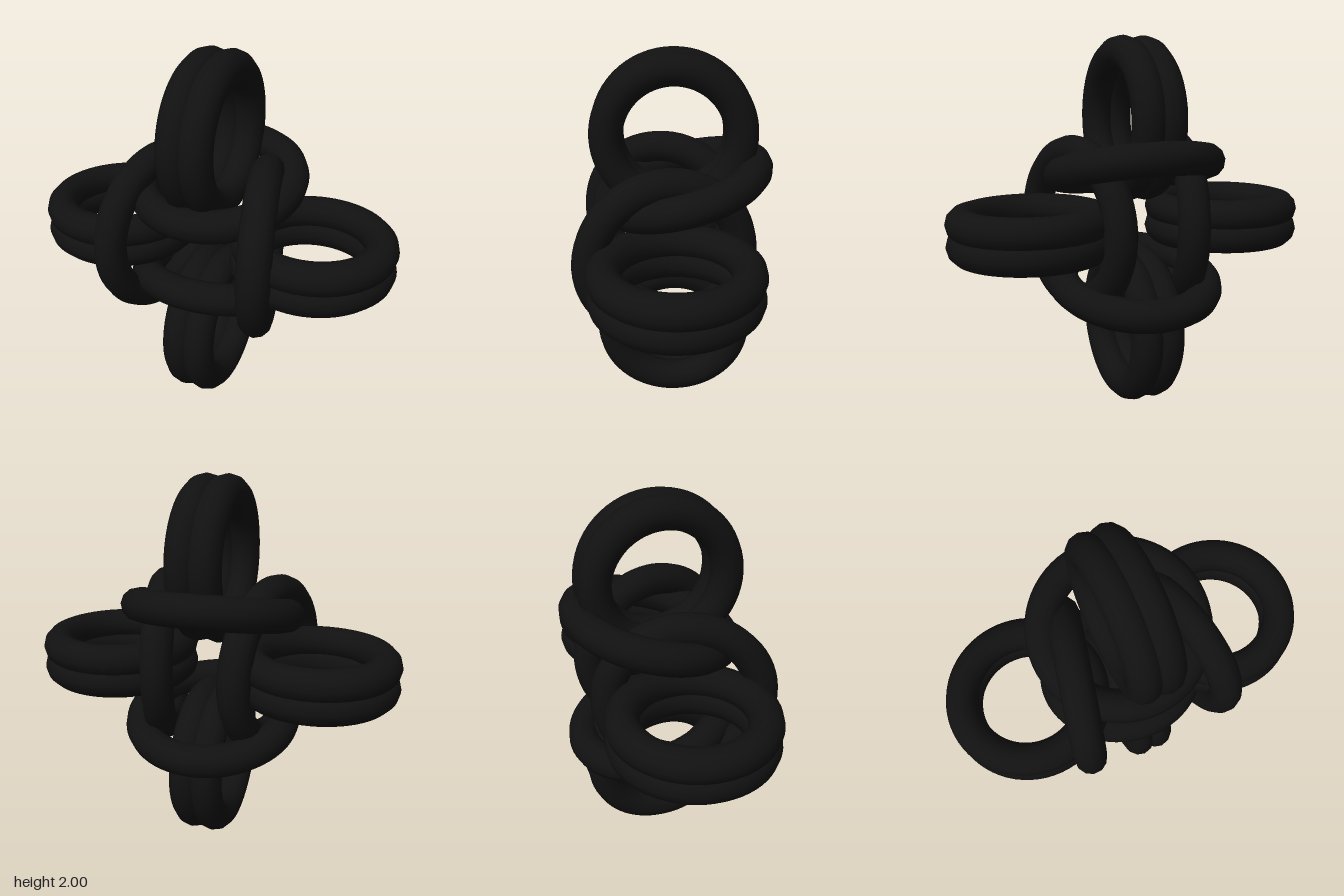
import * as THREE from 'three';

const TUBE = 0.087;   // wire radius
const TILT = 0.24;    // lean of the locking rings

export function createModel() {
  const group = new THREE.Group();
  group.name = 'chainKnot';
  const material = new THREE.MeshStandardMaterial({ color: 0x111111 });
  const outerRing = new THREE.TorusGeometry(0.348, TUBE, 12, 64);
  const lockRing = new THREE.TorusGeometry(0.4, TUBE, 12, 64);

  function addRing(name, geometry, position, rotX, rotY) {
    const mesh = new THREE.Mesh(geometry, material);
    mesh.name = name;
    mesh.position.set(...position);
    mesh.rotation.set(rotX, rotY, 0);
    group.add(mesh);
  }

  for (const s of [1, -1]) {
    const vertical = s > 0 ? 'upper' : 'lower';
    const side = s > 0 ? 'left' : 'right';

    // Paired outer rings, two lying against each other on every arm
    for (const o of [-0.058, 0.058]) {
      addRing(vertical + 'OuterRing', outerRing, [o, 1 + s * 0.565, 0], 0, Math.PI / 2);
      addRing(side + 'OuterRing', outerRing, [s * 0.565, 1 + o, 0], Math.PI / 2, 0);
    }

    // Leaning rings that lock the pairs together
    addRing(vertical + 'LockRing', lockRing, [0, 1 + s * 0.303, -0.045], Math.PI / 2 + s * TILT, 0);
    addRing(side + 'LockRing', lockRing, [s * 0.303, 1, 0.045], 0, Math.PI / 2 + s * TILT);
  }
  return group;
}
